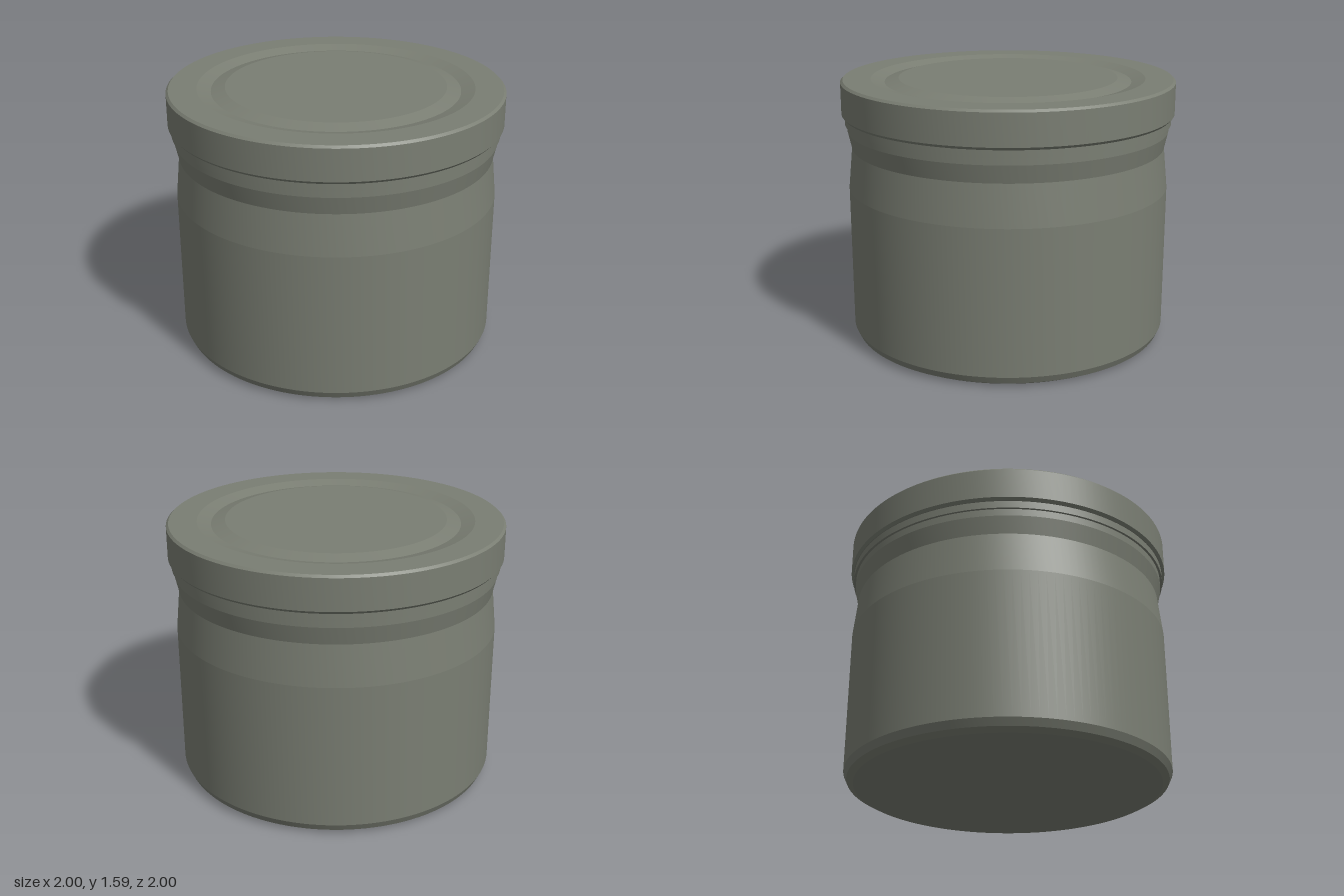
import * as THREE from 'three';
import { toCreasedNormals } from 'three/addons/utils/BufferGeometryUtils.js';

const SEGMENTS = 128;

// Revolve a bottom-to-top profile: smooth around the axis, crisp between bands.
function turned(name, profile, material) {
  const points = profile.map(([r, y]) => new THREE.Vector2(r, y));
  const geometry = toCreasedNormals(new THREE.LatheGeometry(points, SEGMENTS), 0.06);
  const mesh = new THREE.Mesh(geometry, material);
  mesh.name = name;
  return mesh;
}

export function createModel() {
  const group = new THREE.Group();
  group.name = 'lidded jar';
  const greyGreen = new THREE.MeshStandardMaterial({ color: 0x7a7e73 });
  greyGreen.name = 'grey green';

  // Jar body with bevelled foot, straight wall and pinched neck
  group.add(turned('jarBody', [
    [0, 0], [0.91, 0], [0.95, 0.022], [0.97, 0.065],
    [0.97, 0.935], [0.945, 1.18], [0.968, 1.285], [0.968, 1.34],
  ], greyGreen));

  // Narrow collar between the neck and the lid
  group.add(turned('collar', [
    [0.95, 1.328], [0.982, 1.328], [0.982, 1.385],
  ], greyGreen));

  // Lid with chamfered rims and a shallow V-shaped ring groove on top
  group.add(turned('lid', [
    [0.96, 1.372], [0.986, 1.372], [1, 1.388], [1, 1.575], [0.986, 1.588],
    [0.82, 1.588], [0.738, 1.566], [0.655, 1.588], [0, 1.588],
  ], greyGreen));

  return group;
}
